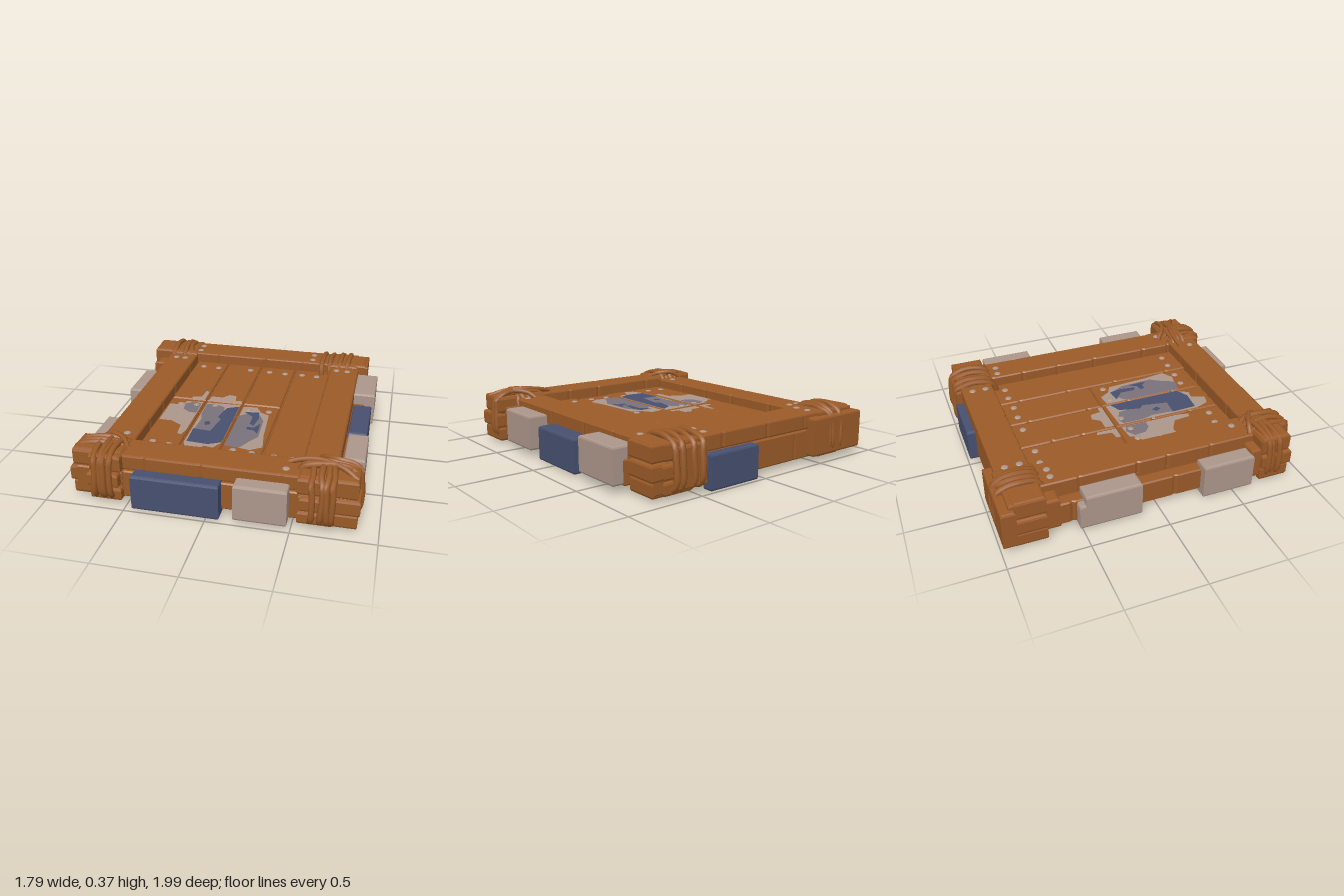
import * as THREE from 'three';

const paintMat = (name, color) => {
  const m = new THREE.MeshStandardMaterial({ color });
  m.name = name;
  return m;
};

export function createModel() {
  const wood = paintMat('wood', 0x9a5a28);
  const grey = paintMat('greyStone', 0xac968a);
  const blue = paintMat('bluePaint', 0x475070);
  const faded = paintMat('fadedPaint', 0x79727a);

  const model = new THREE.Group();
  model.name = 'raft';
  let seed = 7;
  const rand = () => (seed = (seed * 16807) % 2147483647) / 2147483647;

  function add(name, geometry, material, parent = model) {
    const mesh = new THREE.Mesh(geometry, material);
    mesh.name = name;
    parent.add(mesh);
    return mesh;
  }

  function group(name) {
    const g = new THREE.Group();
    g.name = name;
    model.add(g);
    return g;
  }

  // Bevelled block; long edges of its plan outline can carry small random nicks
  function timber(name, [x0, x1], [y0, y1], [z0, z1], { material = wood, parent = model, nicks = 0, bevel = 0.008 } = {}) {
    const corners = [[x0, -z1], [x1, -z1], [x1, -z0], [x0, -z0]];
    const points = [];
    corners.forEach(([ax, ay], i) => {
      const [bx, by] = corners[(i + 1) % 4];
      const length = Math.hypot(bx - ax, by - ay);
      const dx = (bx - ax) / length, dy = (by - ay) / length;
      points.push(new THREE.Vector2(ax, ay));
      if (length < 0.5) return;
      for (let k = 0; k < nicks; k++) {
        const t = length * (k + 0.25 + rand() * 0.5) / nicks;
        const depth = 0.003 + rand() * 0.005;
        for (const [s, d] of [[-0.018, 0], [0, depth], [0.018, 0]])
          points.push(new THREE.Vector2(ax + dx * (t + s) - dy * d, ay + dy * (t + s) + dx * d));
      }
    });
    const geo = new THREE.ExtrudeGeometry(new THREE.Shape(points), {
      depth: y1 - y0 - 2 * bevel, bevelThickness: bevel, bevelSize: bevel, bevelOffset: -bevel,
      bevelSegments: bevel > 0.01 ? 2 : 1,
    });
    geo.rotateX(-Math.PI / 2).translate(0, y0 + bevel, 0);
    return add(name, geo, material, parent);
  }

  // Deck planks, three of them split across the middle
  const deck = group('deck');
  const DECK = 0.25;
  timber('deckCore', [-0.73, 0.73], [0.055, DECK - 0.015], [-0.75, 0.75], { parent: deck });
  const seams = [-0.522, -0.272, -0.008, 0.257, 0.522];
  const ends = [0.685, 0.68, 0.66];
  for (let i = 0; i < 4; i++) {
    const span = [seams[i] + 0.004, seams[i + 1] - 0.004];
    const y = [0.045, DECK];
    if (i < 3) {
      timber('deckPlank', span, y, [-0.73, -0.067], { parent: deck, nicks: 2 });
      timber('deckPlank', span, y, [-0.058, ends[i]], { parent: deck, nicks: 2 });
    } else {
      timber('deckPlank', span, y, [-0.73, 0.7], { parent: deck, nicks: 4 });
    }
  }

  // Raised side beams with a lower rail outside them
  const side = (s, a, b) => (s > 0 ? [a, b] : [-b, -a]);
  for (const s of [-1, 1]) {
    timber('sideBeam', side(s, 0.525, 0.735), [0.045, 0.31], [-0.9, 0.9], { nicks: 6 });
    timber('sideRail', side(s, 0.72, 0.81), [0.045, 0.2], [-0.7, 0.74], { nicks: 3 });
  }

  // Front and back cross beams over their lower rails
  timber('frontBeam', [-0.84, 0.87], [0.225, 0.322], [0.69, 0.895], { nicks: 5, bevel: 0.011 });
  timber('frontRail', [-0.82, 0.82], [0.04, 0.22], [0.7, 0.905], { nicks: 4 });
  timber('backBeam', [-0.86, 0.8], [0.225, 0.325], [-0.935, -0.72], { nicks: 5, bevel: 0.011 });
  timber('backRail', [-0.84, 0.78], [0.04, 0.22], [-0.93, -0.72], { nicks: 4 });

  // Corner stacks of short crossed log ends
  const layers = [[0.02, 0.115], [0.113, 0.215], [0.213, 0.333]];
  const stacks = [
    { sx: -1, sz: 1, outX: 0.86, outZ: 0.955, z: [0.695, 0.905], chock: 0.835 },
    { sx: 1, sz: 1, outX: 0.885, outZ: 0.945, z: [0.695, 0.925], chock: 0.83 },
    { sx: -1, sz: -1, outX: 0.88, outZ: 0.965, z: [0.715, 0.925], chock: 0.83 },
    { sx: 1, sz: -1, outX: 0.8, outZ: 0.96, z: [0.72, 0.935], chock: 0.78 },
  ];
  for (const { sx, sz, outX, outZ, z, chock } of stacks) {
    const parent = group('cornerStack');
    layers.forEach(([y0, y1], i) => {
      const trim = [0.012, 0, 0.016][i];
      timber('crossLogEnd', side(sx, 0.53, outX - trim), [y0, y1], side(sz, z[0], z[1] - trim), { parent, bevel: 0.016 });
      timber('sideLogEnd', side(sx, 0.54 - trim, 0.735 - trim), [y0 + 0.008, y1 - 0.004],
        side(sz, 0.7, outZ - trim), { parent, bevel: 0.016 });
    });
    timber('cornerChock', side(sx, 0.72, chock), [0.05, 0.26], side(sz, 0.625, 0.75), { parent, bevel: 0.014 });
  }
  timber('backLogEnd', [-0.895, -0.44], [0.05, 0.3], [-0.99, -0.9], { bevel: 0.014 });
  timber('backLogEnd', [0.44, 0.66], [0.05, 0.3], [-0.97, -0.9], { bevel: 0.014 });

  // Rope lashings in the z-y plane, or in the x-y plane when turned; b1 is the outer end
  function lashing(count, [a0, a1], [b0, b1], turned = false, top = 0.352) {
    const ropes = group('ropeLashing');
    const d = Math.sign(b1 - b0);
    for (let i = 0; i < count; i++) {
      const at = a0 + (a1 - a0) * i / (count - 1);
      const lean = (rand() - 0.5) * 0.06, t = top - rand() * 0.015;
      const o = d * rand() * 0.012;
      const ring = [
        [b0 + o, 0.07], [b0 + o, 0.28], [b0 + d * 0.04, t - 0.02], [(b0 + b1) / 2, t], [b1 - d * 0.07, t - 0.012],
        [b1 - o - d * 0.012, 0.305], [b1 - o, 0.25], [b1 - o, 0.09], [b1 - d * 0.05, 0.05], [b0 + d * 0.05, 0.06],
      ].map(([b, y]) => {
        const a = at + lean * (b - b0) / (b1 - b0) + (rand() - 0.5) * 0.014;
        return turned ? new THREE.Vector3(b, y, a) : new THREE.Vector3(a, y, b);
      });
      const curve = new THREE.CatmullRomCurve3(ring, true, 'centripetal');
      add('ropeLoop', new THREE.TubeGeometry(curve, 48, 0.019, 7, true), wood, ropes);
    }
  }
  lashing(4, [-0.695, -0.565], [0.675, 0.965]);
  lashing(3, [0.715, 0.785], [-0.525, -0.855], true);
  lashing(4, [0.605, 0.725], [0.675, 0.965]);
  lashing(3, [0.725, 0.8], [0.505, 0.875], true, 0.357);
  lashing(4, [-0.705, -0.575], [-0.69, -0.975]);
  lashing(2, [0.455, 0.51], [-0.69, -0.975]);
  lashing(2, [0.59, 0.645], [-0.69, -0.975]);

  // Loose strands crossing the front lashings
  const strands = [
    [[-0.72, 0.31, 0.67], [-0.66, 0.35, 0.69], [-0.57, 0.35, 0.74], [-0.52, 0.32, 0.8]],
    [[0.45, 0.325, 0.75], [0.52, 0.345, 0.74], [0.64, 0.362, 0.75], [0.78, 0.352, 0.81], [0.86, 0.32, 0.86]],
    [[0.62, 0.31, 0.64], [0.66, 0.345, 0.68], [0.74, 0.36, 0.72], [0.83, 0.342, 0.72], [0.88, 0.3, 0.73]],
  ];
  const loose = group('looseRopes');
  for (const points of strands) {
    const curve = new THREE.CatmullRomCurve3(points.map((p) => new THREE.Vector3(...p)));
    add('looseRope', new THREE.TubeGeometry(curve, 24, 0.016, 7), wood, loose);
  }

  // Bumper blocks around the rim
  const bumpers = [
    [[-0.455, 0.08], [0.005, 0.235], [0.88, 0.975], blue],
    [[0.165, 0.48], [0.03, 0.265], [0.88, 0.988], grey],
    [[0.05, 0.42], [0.005, 0.225], [-0.985, -0.92], blue],
    [[0.75, 0.88], [0.05, 0.28], [0.25, 0.57], grey],
    [[0.74, 0.865], [0.01, 0.235], [-0.26, 0.16], blue],
    [[0.73, 0.88], [0.05, 0.28], [-0.69, -0.34], grey],
    [[-0.86, -0.75], [0.01, 0.24], [0.29, 0.635], grey],
    [[-0.865, -0.74], [0.02, 0.25], [-0.48, -0.125], grey],
    [[-0.865, -0.78], [0.02, 0.19], [-0.52, -0.46], grey],
  ];
  for (const [x, y, z, material] of bumpers) timber('bumperBlock', x, y, z, { material, bevel: 0.014 });

  // Low domed nail heads, listed as height then x, z pairs
  const nails = group('nails');
  const nailGeo = new THREE.SphereGeometry(0.023, 10, 4, 0, Math.PI * 2, 0, Math.PI / 2).scale(1, 0.35, 1);
  const nailSets = [
    [0.324, [[-0.51, -0.865], [-0.51, -0.775], [0.38, -0.865], [0.38, -0.775]]],
    [0.321, [[0.445, 0.825]]],
    [0.309, [[-0.67, -0.635], [-0.6, -0.635], [0.575, -0.645], [0.655, -0.64], [-0.6, 0.605], [0.675, 0.645]]],
    [DECK, [[-0.45, -0.635], [-0.33, -0.63], [-0.08, -0.64], [0.07, -0.635], [0.19, -0.63], [0.32, -0.635],
      [0.43, -0.63], [-0.45, 0.57], [-0.34, 0.585], [0.07, 0.57], [0.19, 0.58], [0.33, 0.59], [0.445, 0.595],
      [-0.43, 0.025], [-0.32, 0.02], [-0.19, 0.005], [0.05, 0.02], [0.19, 0.02]]],
  ];
  for (const [y, spots] of nailSets)
    for (const [x, z] of spots) add('nail', nailGeo, grey, nails).position.set(x, y, z);

  // Worn paint patches lying on the middle planks
  const patches = group('wornPaint');
  function patch(name, level, material, points) {
    const shape = new THREE.Shape(points.map(([x, z]) => new THREE.Vector2(x, -z)));
    const geo = new THREE.ShapeGeometry(shape).rotateX(-Math.PI / 2).translate(0, DECK + 0.0015 * level, 0);
    add(name, geo, material, patches);
  }
  patch('greyPatch', 1, grey, [[-0.505, 0.04], [-0.42, 0.04], [-0.4, -0.02], [-0.285, -0.03], [-0.285, 0.38],
    [-0.3, 0.45], [-0.33, 0.44], [-0.34, 0.33], [-0.42, 0.28], [-0.505, 0.28]]);
  patch('greyPatch', 1, grey, [[-0.38, -0.07], [-0.38, -0.1], [-0.32, -0.11], [-0.31, -0.21], [-0.285, -0.2],
    [-0.285, -0.07]]);
  patch('greyPatch', 1, grey, [[-0.255, -0.07], [-0.25, -0.13], [-0.17, -0.13], [-0.13, -0.18], [-0.08, -0.17],
    [-0.07, -0.1], [-0.02, -0.1], [-0.02, -0.07]]);
  patch('greyPatch', 1, grey, [[-0.255, -0.03], [-0.02, -0.04], [-0.02, 0.5], [-0.06, 0.57], [-0.12, 0.56],
    [-0.15, 0.65], [-0.22, 0.63], [-0.255, 0.54]]);
  patch('greyPatch', 1, grey, [[0.005, -0.02], [0.1, -0.03], [0.14, 0.04], [0.2, 0.07], [0.22, 0.35],
    [0.243, 0.5], [0.17, 0.55], [0.005, 0.52]]);
  patch('fadedPatch', 2, faded, [[-0.4, 0.02], [-0.34, -0.02], [-0.29, 0], [-0.29, 0.14], [-0.34, 0.14], [-0.39, 0.1]]);
  patch('fadedPatch', 2, faded, [[-0.25, 0], [-0.2, -0.02], [-0.12, 0.02], [-0.09, 0.2], [-0.11, 0.38],
    [-0.24, 0.37], [-0.23, 0.22], [-0.25, 0.15]]);
  patch('fadedPatch', 2, faded, [[0.005, 0.12], [0.09, 0.05], [0.14, 0.08], [0.18, 0.16], [0.19, 0.38],
    [0.15, 0.44], [0.1, 0.54], [0.005, 0.52]]);
  patch('bluePatch', 3, blue, [[-0.1, 0.03], [-0.02, -0.01], [-0.02, 0.5], [-0.1, 0.54], [-0.24, 0.53],
    [-0.245, 0.36], [-0.13, 0.37], [-0.1, 0.2], [-0.13, 0.17]]);
  patch('bluePatch', 3, blue, [[-0.2, 0.26], [-0.17, 0.24], [-0.15, 0.28], [-0.18, 0.3]]);
  patch('bluePatch', 3, blue, [[0.03, 0.06], [0.13, 0.05], [0.145, 0.13], [0.13, 0.24], [0.1, 0.22], [0.1, 0.12]]);
  patch('bluePatch', 3, blue, [[0.09, 0.27], [0.14, 0.26], [0.17, 0.2], [0.175, 0.34], [0.14, 0.3], [0.1, 0.3]]);

  return model;
}
